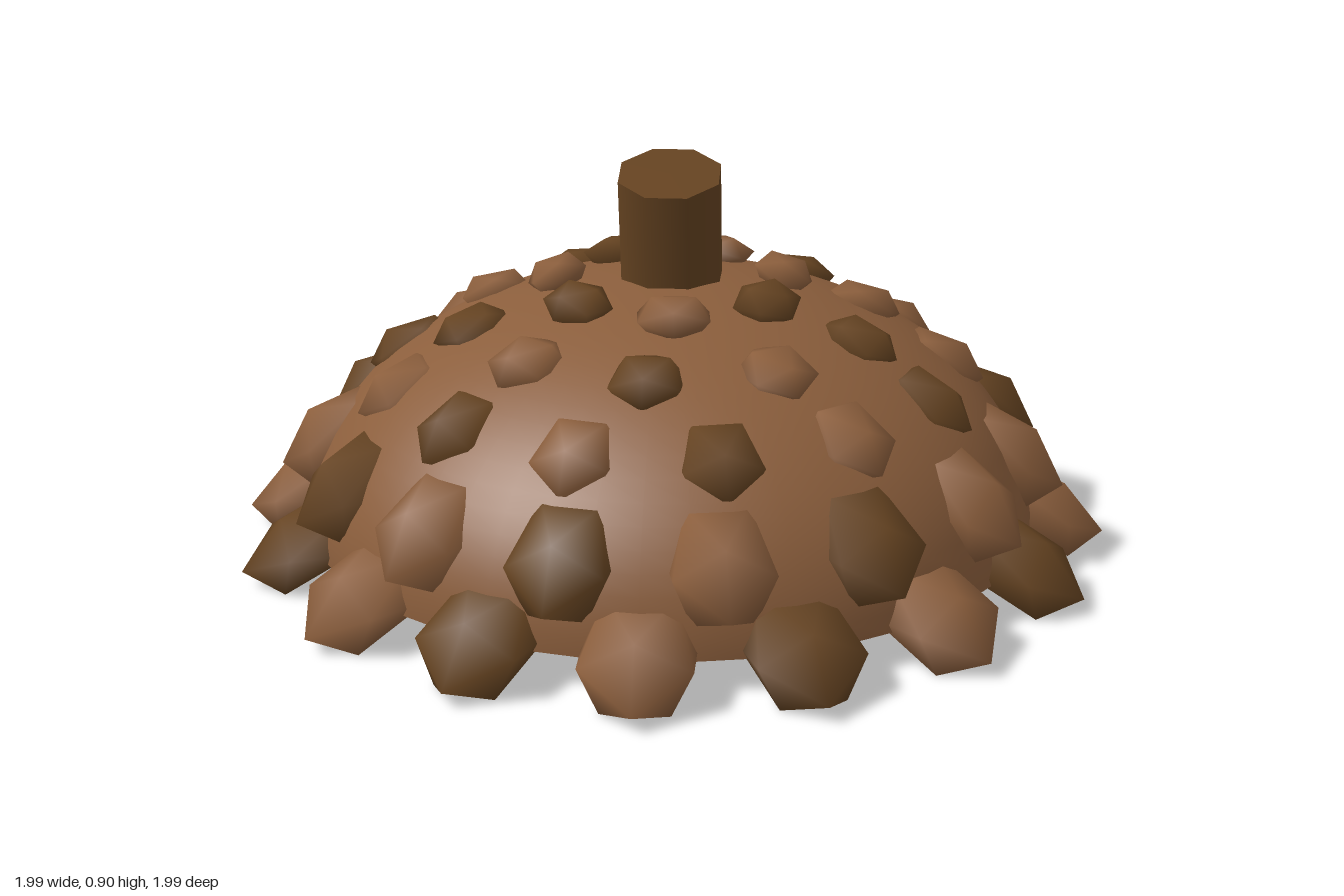
import * as THREE from 'three';
import { mergeVertices } from 'three/addons/utils/BufferGeometryUtils.js';

const DEG = Math.PI / 180;

// Smooth 20-sided scale: half-axes a (across), b (up), c (out), sheared so the lower tip juts outward
function scaleGeometry(a, b, c, lean) {
  let g = new THREE.IcosahedronGeometry(1, 0);
  g.deleteAttribute('normal');
  g.deleteAttribute('uv');
  g = mergeVertices(g, 1e-4);
  const p = g.attributes.position;
  for (let i = 0; i < p.count; i++) {
    const y = p.getY(i) * b;
    p.setXYZ(i, p.getX(i) * a, y, p.getZ(i) * c - lean * y);
  }
  g.computeVertexNormals();
  return g;
}

export function createModel() {
  const lightBrown = new THREE.MeshStandardMaterial({ color: 0x8b5e3c, side: THREE.DoubleSide });
  lightBrown.name = 'lightBrown';
  const darkBrown = new THREE.MeshStandardMaterial({ color: 0x654321 });
  darkBrown.name = 'darkBrown';

  const model = new THREE.Group();
  model.name = 'nutCap';

  // Open dome shell
  const domeGeometry = new THREE.SphereGeometry(1, 48, 20, 0, Math.PI * 2, 0, Math.PI / 2);
  domeGeometry.scale(0.83, 0.55, 0.83);
  const dome = new THREE.Mesh(domeGeometry, lightBrown);
  dome.name = 'dome';
  dome.position.y = 0.08;
  model.add(dome);

  // Rings of scales, from rim to crown; start is the angle from +x towards +z
  const rows = [
    { count: 16, start: 0, r: 0.84, y: 0.098, a: 0.137, b: 0.109, c: 0.131, lean: 0.8 },
    { count: 15, start: 30, r: 0.755, y: 0.253, a: 0.125, b: 0.123, c: 0.128, lean: 0.5 },
    { count: 13, start: -6.9, r: 0.61, y: 0.417, a: 0.1, b: 0.08, c: 0.105, lean: 0.5 },
    { count: 10, start: -16, r: 0.45, y: 0.535, a: 0.09, b: 0.055, c: 0.09, lean: 0.5 },
    { count: 7, start: -18.5, r: 0.265, y: 0.618, a: 0.092, b: 0.048, c: 0.07, lean: 0.35 },
  ];
  rows.forEach((row, n) => {
    const geometry = scaleGeometry(row.a, row.b, row.c, row.lean);
    const ring = new THREE.Group();
    ring.name = 'scaleRing' + (n + 1);
    for (let i = 0; i < row.count; i++) {
      const angle = row.start * DEG + (i / row.count) * Math.PI * 2;
      const scale = new THREE.Mesh(geometry, i % 2 ? darkBrown : lightBrown);
      scale.name = 'scale';
      scale.position.set(Math.cos(angle) * row.r, row.y, Math.sin(angle) * row.r);
      scale.rotation.y = Math.PI / 2 - angle;
      ring.add(scale);
    }
    model.add(ring);
  });

  // Stem leaning forward
  const stemGeometry = new THREE.CylinderGeometry(0.12, 0.12, 0.3, 8);
  stemGeometry.rotateY(Math.PI / 8);
  const stem = new THREE.Mesh(stemGeometry, darkBrown);
  stem.name = 'stem';
  stem.position.set(0, 0.733, -0.001);
  stem.rotation.x = 15 * DEG;
  model.add(stem);

  return model;
}
